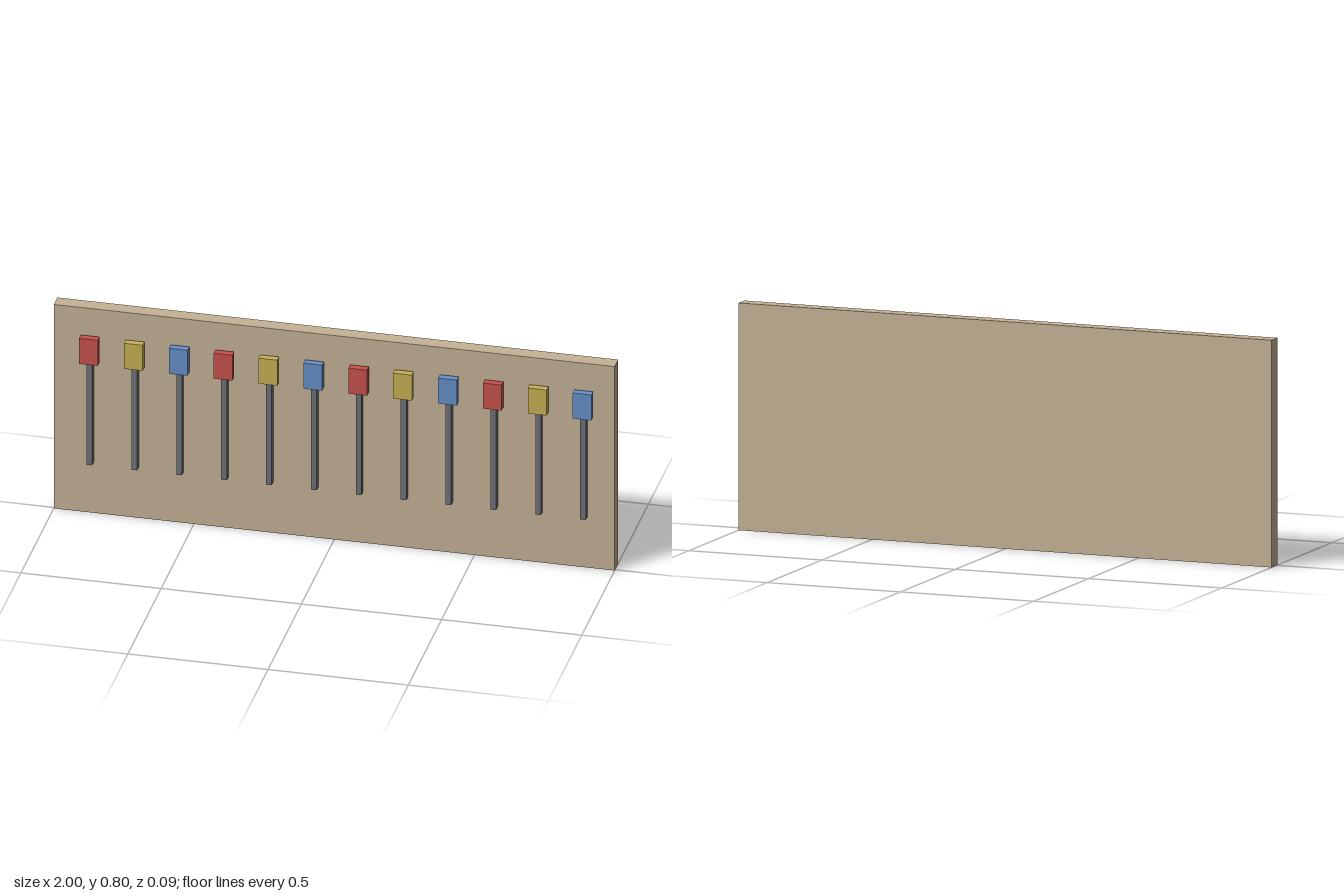
import * as THREE from 'three';

function material(name, color) {
  const m = new THREE.MeshStandardMaterial({ color });
  m.name = name;
  return m;
}

export function createModel() {
  const group = new THREE.Group();
  group.name = 'sliderPanel';

  const tan = material('tan', 0xc6b397);
  const grey = material('grey', 0x70737b);
  const knobColours = [
    material('red', 0xc9524d),
    material('yellow', 0xc8b255),
    material('blue', 0x6790cb),
  ];

  // Box given by its centre x and its y and z ranges
  function addBox(name, mat, width, x, [y0, y1], [z0, z1]) {
    const mesh = new THREE.Mesh(new THREE.BoxGeometry(width, y1 - y0, z1 - z0), mat);
    mesh.position.set(x, (y0 + y1) / 2, (z0 + z1) / 2);
    mesh.name = name;
    group.add(mesh);
  }

  // Backing board
  addBox('board', tan, 2, 0, [0, 0.8], [-0.0467, 0.0067]);

  // Row of twelve rods, each with a coloured block at its top
  for (let i = 0; i < 12; i++) {
    const x = -0.8667 + i * 0.16;
    addBox(`rod${i + 1}`, grey, 0.02, x, [0.2, 0.6667], [0.0067, 0.0337]);
    addBox(`block${i + 1}`, knobColours[i % 3], 0.0667, x, [0.6, 0.7], [0.0205, 0.0467]);
  }

  return group;
}
